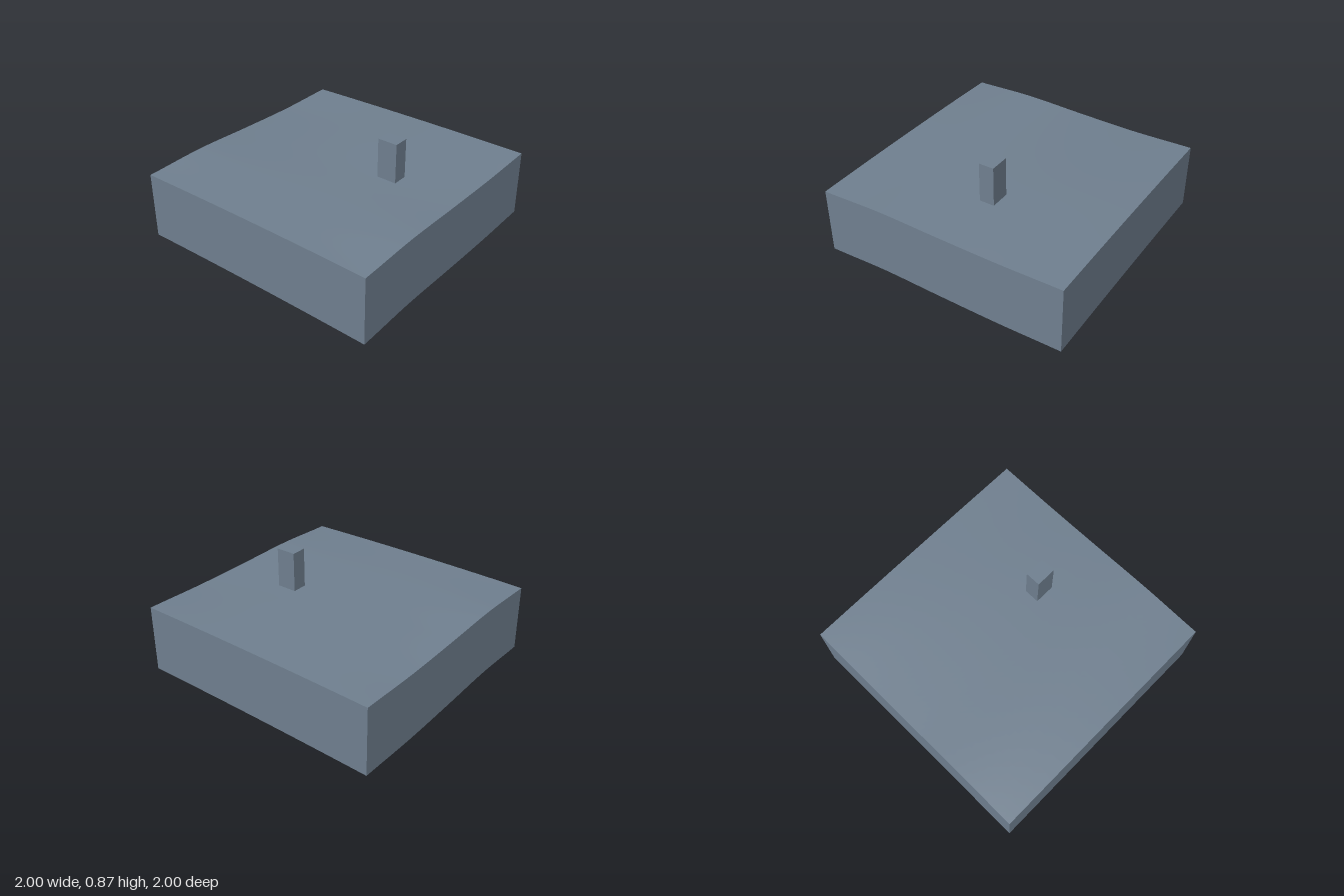
import * as THREE from 'three';

const SKIRT = 0.532; // wall height
// ground undulation along x, for the back, middle and front of the block
const ROWS = [
  [0.02, 0.033, 0.015, 0.002, 0.01],
  [0.027, 0.032, 0.029, 0.029, 0.028],
  [0.015, 0.033, 0.025, 0.021, 0.03],
].map((row) => new THREE.SplineCurve(row.map((y, i) => new THREE.Vector2(i / 2 - 1, y))));

// height of the wall foot at (x, z): spline in x, quadratic in z
function footHeight(x, z) {
  const t = THREE.MathUtils.clamp((x + 1) / 2, 0, 1);
  const [back, mid, front] = ROWS.map((curve) => curve.getPoint(t).y);
  return back * z * (z - 1) / 2 + mid * (1 - z * z) + front * z * (z + 1) / 2;
}

// applies a height rule to each vertex
function shapeHeights(geometry, rule) {
  const p = geometry.attributes.position;
  for (let i = 0; i < p.count; i++) p.setY(i, rule(p.getX(i), p.getY(i), p.getZ(i)));
  geometry.computeVertexNormals();
  return geometry;
}

export function createModel() {
  const model = new THREE.Group();
  const slate = new THREE.MeshStandardMaterial({ color: 0x708090, side: THREE.DoubleSide });
  slate.name = 'slateGrey';

  const add = (name, geometry) => {
    const mesh = new THREE.Mesh(geometry, slate);
    mesh.name = name;
    model.add(mesh);
    return mesh;
  };

  // gently rolling ground
  const ground = new THREE.PlaneGeometry(2, 2, 32, 32).rotateX(-Math.PI / 2);
  add('ground', shapeHeights(ground, (x, y, z) => footHeight(x, z) + SKIRT));

  // four skirt walls that follow the ground, open underneath
  ['frontWall', 'leftWall', 'backWall', 'rightWall'].forEach((name, i) => {
    const wall = new THREE.PlaneGeometry(2, 1, 32, 1).translate(0, 0, 1).rotateY(i * Math.PI / 2);
    add(name, shapeHeights(wall, (x, y, z) => footHeight(x, z) + (y > 0 ? SKIRT : 0)));
  });

  // tower block standing on the ground
  const base = 0.557, top = 0.876;
  add('tower', new THREE.BoxGeometry(0.12, top - base, 0.16)).position.set(0.08, (base + top) / 2, 0.417);

  return model;
}
